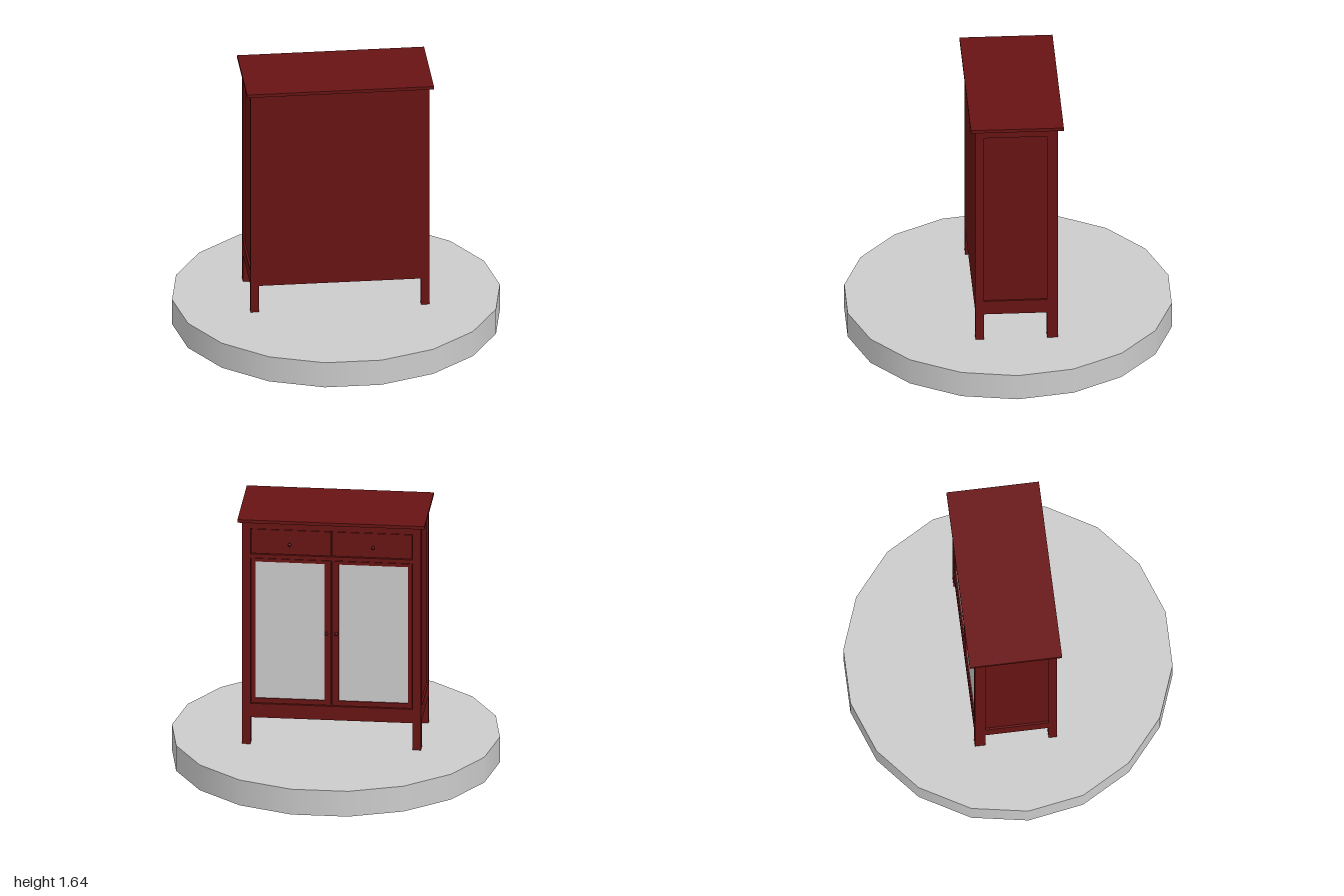
import * as THREE from 'three';

const red = new THREE.MeshStandardMaterial({ color: 0x681313 });
const grey = new THREE.MeshStandardMaterial({ color: 0xcccccc });

// Box given by its limits on each axis
function slab(parent, name, [x0, x1], [y0, y1], [z0, z1], material = red) {
  const mesh = new THREE.Mesh(new THREE.BoxGeometry(x1 - x0, y1 - y0, z1 - z0), material);
  mesh.position.set((x0 + x1) / 2, (y0 + y1) / 2, (z0 + z1) / 2);
  mesh.name = name;
  parent.add(mesh);
  return mesh;
}

// Rectangular frame in the xy plane with one opening
function frame(parent, name, [x0, x1], [y0, y1], [hx0, hx1], [hy0, hy1], z, depth) {
  const rect = (C, a, b, c, d) => {
    const s = new C();
    s.moveTo(a, c); s.lineTo(b, c); s.lineTo(b, d); s.lineTo(a, d); s.closePath();
    return s;
  };
  const shape = rect(THREE.Shape, x0, x1, y0, y1);
  shape.holes.push(rect(THREE.Path, hx0, hx1, hy0, hy1));
  const mesh = new THREE.Mesh(new THREE.ExtrudeGeometry(shape, { depth, bevelEnabled: false }), red);
  mesh.position.z = z;
  mesh.name = name;
  parent.add(mesh);
}

// Turned knob pointing to -z
function knob(parent, name, x, y) {
  const profile = [[0, 0], [0.005, 0], [0.005, 0.018], [0.01, 0.021], [0.01, 0.028], [0, 0.031]]
    .map(([r, h]) => new THREE.Vector2(r, h));
  const mesh = new THREE.Mesh(new THREE.LatheGeometry(profile, 12), red);
  mesh.rotation.x = -Math.PI / 2;
  mesh.position.set(x, y, -0.265);
  mesh.name = name;
  parent.add(mesh);
}

export function createModel() {
  const model = new THREE.Group();
  model.name = 'cabinetOnPlatform';

  // Round platform with 18 smooth-shaded sides, corners on the x axis
  const platform = new THREE.Mesh(
    new THREE.CylinderGeometry(1, 1, 0.165, 18).rotateY(Math.PI / 2), grey);
  platform.position.y = 0.0825;
  platform.name = 'platform';
  model.add(platform);

  const cabinet = new THREE.Group();
  cabinet.name = 'cabinet';
  model.add(cabinet);

  // Top board, bottom board, back panel
  slab(cabinet, 'topBoard', [-0.57, 0.57], [1.62, 1.64], [-0.305, 0.26]);
  slab(cabinet, 'bottomBoard', [-0.53, 0.53], [0.34, 0.36], [-0.25, 0.21]);
  slab(cabinet, 'backPanel', [-0.495, 0.495], [0.34, 1.62], [0.21, 0.23]);

  // Rails across the doors' side
  slab(cabinet, 'topRail', [-0.495, 0.495], [1.57, 1.62], [-0.27, -0.24]);
  slab(cabinet, 'middleRail', [-0.495, 0.495], [1.38, 1.405], [-0.27, -0.24]);
  slab(cabinet, 'bottomRail', [-0.495, 0.495], [0.34, 0.43], [-0.27, -0.24]);

  for (const side of [-1, 1]) {
    const span = (a, b) => (side > 0 ? [a, b] : [-b, -a]);
    const label = side > 0 ? 'left' : 'right';

    // Corner posts that run down into the legs
    slab(cabinet, label + 'PlainSideLeg', span(0.495, 0.545), [0.165, 1.62], [0.18, 0.23]);
    slab(cabinet, label + 'DoorSideLeg', span(0.495, 0.545), [0.165, 1.62], [-0.27, -0.205]);

    // Framed, recessed side wall
    slab(cabinet, label + 'SidePanel', span(0.515, 0.533), [0.36, 1.62], [-0.205, 0.18]);
    slab(cabinet, label + 'SideTopRail', span(0.51, 0.545), [1.57, 1.62], [-0.205, 0.18]);
    slab(cabinet, label + 'SideBottomRail', span(0.51, 0.545), [0.34, 0.43], [-0.205, 0.18]);

    // Drawer, set slightly back with a thin gap around it
    slab(cabinet, label + 'Drawer', span(0.003, 0.491), [1.409, 1.566], [-0.265, -0.24]);
    knob(cabinet, label + 'DrawerKnob', side * 0.255, 1.48);

    // Glazed door
    const door = new THREE.Group();
    door.name = label + 'Door';
    cabinet.add(door);
    frame(door, label + 'DoorFrame', span(0.003, 0.491), [0.434, 1.376],
      span(0.043, 0.465), [0.465, 1.355], -0.265, 0.025);
    slab(door, label + 'DoorGlass', span(0.04, 0.468), [0.462, 1.358], [-0.257, -0.25], grey);
    knob(door, label + 'DoorKnob', side * 0.03, 0.91);
  }

  // Inner wall closing the gaps behind drawers and doors
  slab(cabinet, 'innerWall', [-0.51, 0.51], [0.36, 1.62], [-0.24, -0.23]);

  return model;
}
